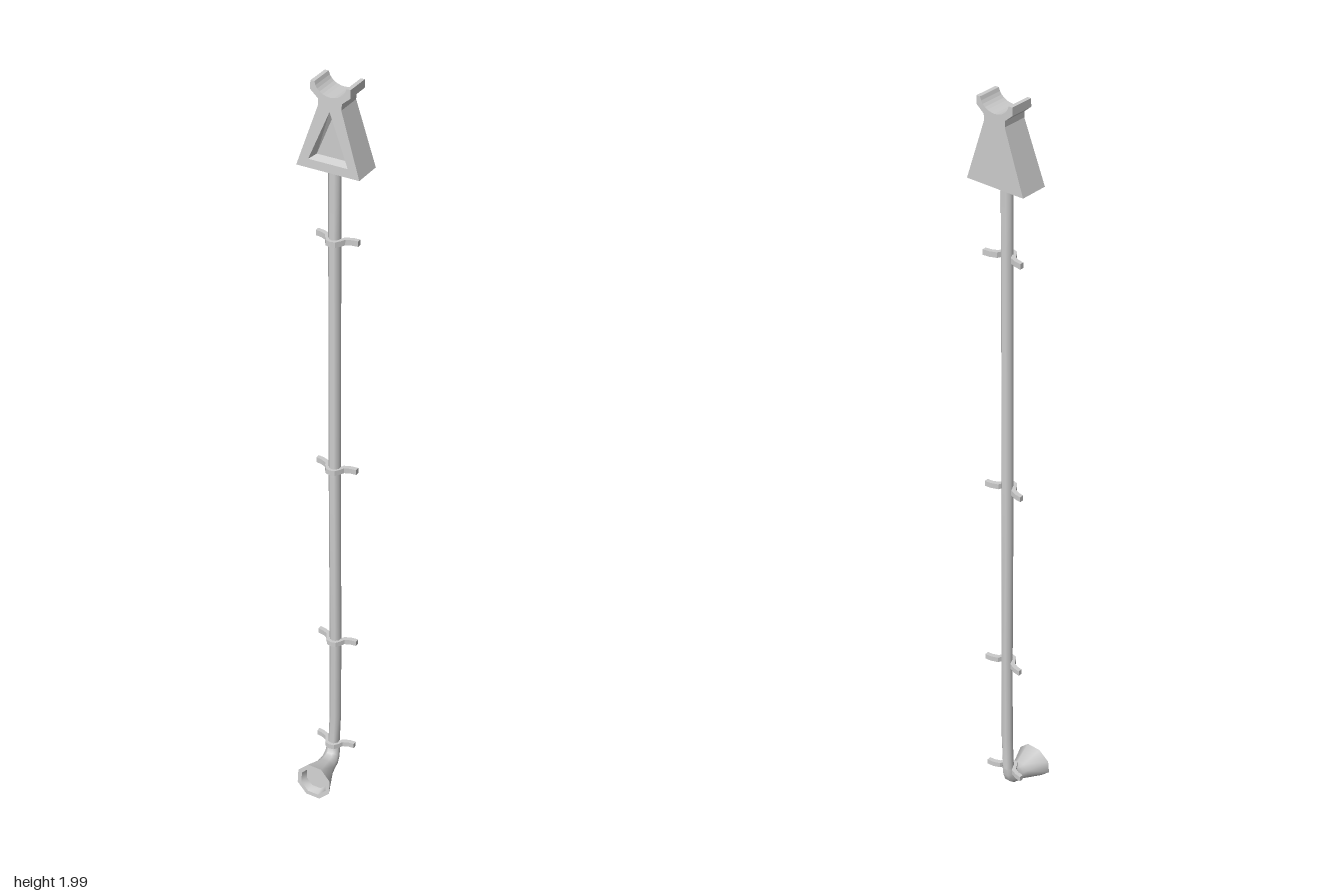
import * as THREE from 'three';
import { toCreasedNormals } from 'three/addons/utils/BufferGeometryUtils.js';

const grey = new THREE.MeshStandardMaterial({ color: 0xcccccc });
const thin = new THREE.MeshStandardMaterial({ color: 0xcccccc, side: THREE.DoubleSide });

function mesh(name, geometry, material = grey) {
  const m = new THREE.Mesh(geometry, material);
  m.name = name;
  return m;
}

// Sweep of octagonal rings [x, y, z, radius, degrees turned from down towards front]
function sweep(rings, sides = 8) {
  const pos = [], index = [];
  for (const [x, y, z, r, deg] of rings) {
    const a = THREE.MathUtils.degToRad(deg);
    for (let j = 0; j < sides; j++) {
      const t = ((j + 0.5) / sides) * Math.PI * 2;
      const s = r * Math.sin(t);
      pos.push(x + r * Math.cos(t), y + s * Math.sin(a), z + s * Math.cos(a));
    }
  }
  for (let i = 0; i < rings.length - 1; i++) {
    for (let j = 0; j < sides; j++) {
      const k = (j + 1) % sides;
      const a = i * sides + j, b = i * sides + k;
      index.push(a, b, b + sides, a, b + sides, a + sides);
    }
  }
  const g = new THREE.BufferGeometry();
  g.setAttribute('position', new THREE.Float32BufferAttribute(pos, 3));
  g.setIndex(index);
  return toCreasedNormals(g, 0.9);
}

// Triangle with its corners listed counter-clockwise
const triangle = (half, low, high) => [
  new THREE.Vector2(-half, low), new THREE.Vector2(half, low), new THREE.Vector2(0, high),
];

// Front face leans back slightly towards the top
const frontZ = (y) => -0.005 - 0.06 * (y - 1.795);

function lean(geometry, from) {
  const p = geometry.attributes.position;
  for (let i = 0; i < p.count; i++) {
    if (p.getZ(i) > from) p.setZ(i, p.getZ(i) + frontZ(p.getY(i)) + 0.005);
  }
  geometry.computeVertexNormals();
  return geometry;
}

function hopper() {
  const group = new THREE.Group();
  group.name = 'hopper';
  // Tapered body with a gutter cradle at the top
  const s = new THREE.Shape();
  s.moveTo(-0.08, 1.795);
  s.lineTo(0.08, 1.795);
  s.lineTo(0.029, 1.948);
  s.lineTo(0.03, 1.963);
  s.lineTo(0.05, 1.98);
  s.lineTo(0.05, 2);
  s.lineTo(0.04, 2);
  s.quadraticCurveTo(0.033, 1.973, 0, 1.971);
  s.quadraticCurveTo(-0.033, 1.973, -0.04, 2);
  s.lineTo(-0.05, 2);
  s.lineTo(-0.05, 1.98);
  s.lineTo(-0.03, 1.963);
  s.lineTo(-0.029, 1.948);
  s.closePath();
  const outer = triangle(0.05, 1.816, 1.938);
  const inner = triangle(0.038, 1.824, 1.917);
  const back = new THREE.ExtrudeGeometry(s, { depth: 0.05, bevelEnabled: false, curveSegments: 6 });
  back.translate(0, 0, -0.08);
  group.add(mesh('hopperBack', back));
  s.holes.push(new THREE.Path([...outer].reverse()));
  const front = new THREE.ExtrudeGeometry(s, { depth: 0.025, bevelEnabled: false, curveSegments: 6 });
  front.translate(0, 0, -0.03);
  group.add(mesh('hopperFront', lean(front, -0.01)));

  // Sloping walls and floor of the triangular recess
  const pos = [];
  const floor = -0.024;
  for (let i = 0; i < 3; i++) {
    const k = (i + 1) % 3;
    const a = [outer[i].x, outer[i].y, frontZ(outer[i].y)];
    const b = [outer[k].x, outer[k].y, frontZ(outer[k].y)];
    const c = [inner[k].x, inner[k].y, floor];
    const d = [inner[i].x, inner[i].y, floor];
    pos.push(...a, ...b, ...c, ...a, ...c, ...d);
  }
  for (const v of inner) pos.push(v.x, v.y, floor);
  const recess = new THREE.BufferGeometry();
  recess.setAttribute('position', new THREE.Float32BufferAttribute(pos, 3));
  recess.computeVertexNormals();
  group.add(mesh('hopperRecess', recess));
  return group;
}

// Strap bent over the pipe, with two arms reaching back to the wall
function bracketGeometry() {
  const outline = [[0, -0.015], [0.012, -0.018], [0.02, -0.029], [0.026, -0.04], [0.04, -0.046], [0.055, -0.048]];
  const inside = [[0.055, -0.059], [0.038, -0.057], [0.02, -0.05], [0.013, -0.035], [0.008, -0.026], [0, -0.023]];
  const half = [...outline, ...inside];
  const other = half.slice(1, -1).reverse().map(([x, z]) => [-x, z]);
  // Shape y becomes -z once the extrusion is stood upright
  const shape = new THREE.Shape([...half, ...other].map(([x, z]) => new THREE.Vector2(x, -z)));
  const g = new THREE.ExtrudeGeometry(shape, { depth: 0.014, bevelEnabled: false });
  g.rotateX(-Math.PI / 2);
  g.translate(0, -0.007, 0);
  return toCreasedNormals(g, 0.6);
}

export function createModel() {
  const model = new THREE.Group();
  model.name = 'downspout';
  model.add(hopper());

  // Long pipe, slightly out of true
  model.add(mesh('pipe', sweep([
    [0, 1.81, -0.038, 0.015, 0],
    [0, 1.61, -0.038, 0.015, 0],
    [0.002, 0.985, -0.037, 0.015, 0],
    [0.005, 0.455, -0.038, 0.015, 0],
    [0.005, 0.2, -0.038, 0.015, 0],
    [0.001, 0.1, -0.038, 0.015, 0],
  ])));

  // Elbow widening into a flared, hollow spout
  model.add(mesh('spout', sweep([
    [0.001, 0.105, -0.038, 0.016, 0],
    [0.001, 0.088, -0.035, 0.018, 15],
    [0.002, 0.072, -0.028, 0.02, 40],
    [0.003, 0.062, -0.016, 0.022, 65],
    [0.003, 0.058, 0, 0.0235, 85],
    [0.003, 0.056, 0.014, 0.026, 92],
    [0.003, 0.052, 0.073, 0.051, 96],
    [0.003, 0.052, 0.073, 0.039, 96],
    [0.003, 0.053, 0.055, 0.033, 96],
    [0.003, 0.053, 0.055, 0.0001, 96],
  ]), thin));

  // Wall brackets
  const bracket = bracketGeometry();
  for (const [x, y] of [[0, 1.61], [0, 0.983], [0.004, 0.453], [0, 0.105]]) {
    const b = mesh('wallBracket', bracket);
    b.position.set(x, y, 0);
    model.add(b);
  }
  return model;
}
